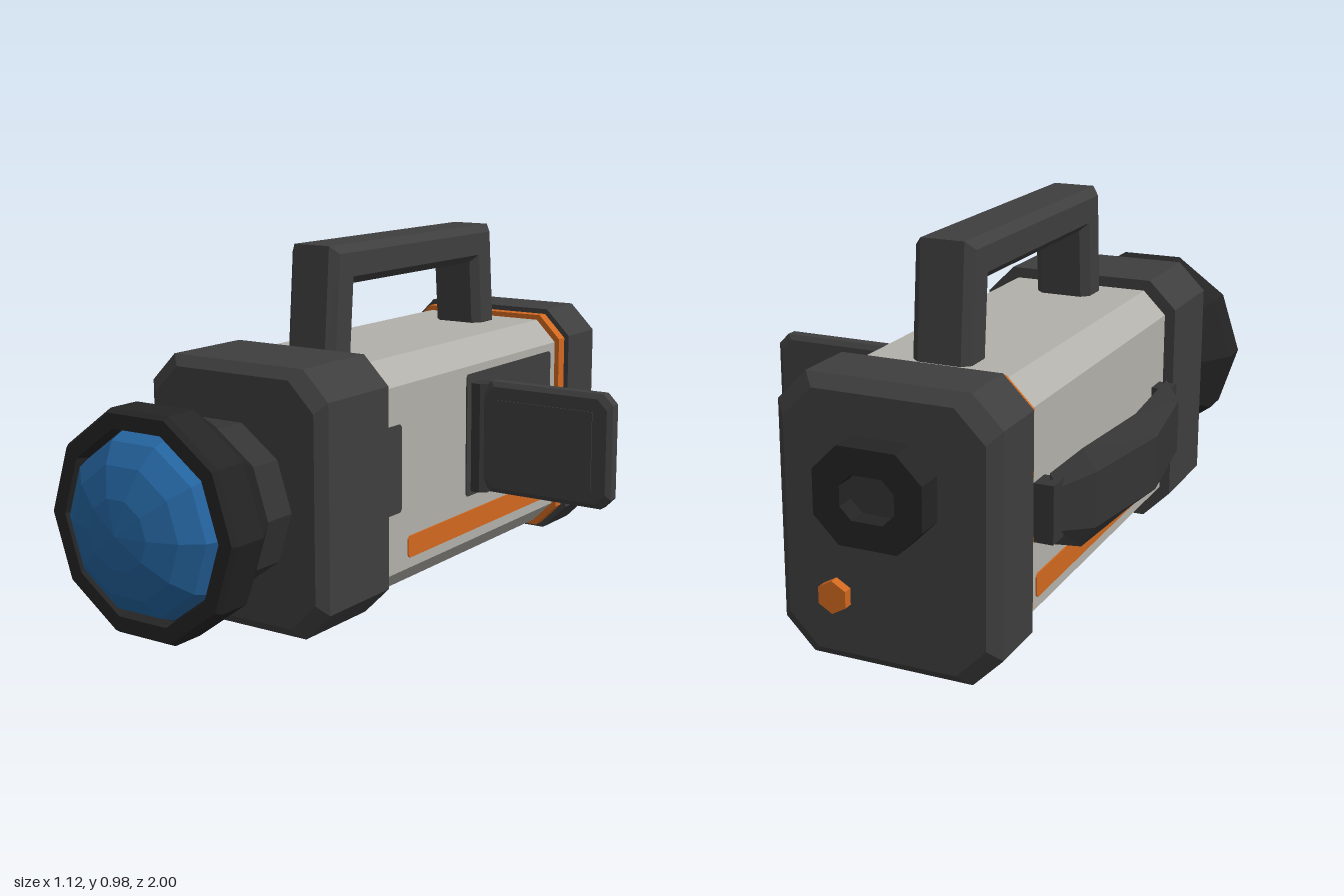
import * as THREE from 'three';

const CX = -0.15, CY = 0.355; // axis of body and lens

const mat = (name, color) => {
  const m = new THREE.MeshStandardMaterial({ color });
  m.name = name;
  return m;
};

// Rectangle with cut corners, counter-clockwise
function chamferRect(w, h, c, x = 0, y = 0) {
  const a = w / 2, b = h / 2;
  return [[a, -b + c], [a, b - c], [a - c, b], [-a + c, b], [-a, b - c], [-a, -b + c], [-a + c, -b], [a - c, -b]]
    .map(([u, v]) => [x + u, y + v]);
}

// Closed solid through convex sections { z, pts }, ordered by rising z
function loft(sections) {
  const pos = [], n = sections[0].pts.length;
  const put = (s, i) => pos.push(...s.pts[i % n], s.z);
  for (let k = 0; k < sections.length - 1; k++) {
    const a = sections[k], b = sections[k + 1];
    for (let i = 0; i < n; i++) {
      put(a, i); put(a, i + 1); put(b, i + 1);
      put(a, i); put(b, i + 1); put(b, i);
    }
  }
  const first = sections[0], last = sections[sections.length - 1];
  for (let i = 1; i < n - 1; i++) {
    put(first, 0); put(first, i + 1); put(first, i);
    put(last, 0); put(last, i); put(last, i + 1);
  }
  const g = new THREE.BufferGeometry();
  g.setAttribute('position', new THREE.Float32BufferAttribute(pos, 3));
  return g;
}

// Chamfered block along z; each step is [z, inset]
const block = (w, h, c, x, y, steps) =>
  loft(steps.map(([z, inset]) => ({ z, pts: chamferRect(w - 2 * inset, h - 2 * inset, c, x, y) })));

// Ten-sided turned part around the lens axis; profile is [radius, z]
function turned(profile) {
  const g = new THREE.LatheGeometry(profile.map(p => new THREE.Vector2(...p)), 10, Math.PI / 2);
  return g.rotateX(Math.PI / 2).translate(CX, CY, 0);
}

const toShape = pts => new THREE.Shape(pts.map(p => new THREE.Vector2(...p)));

export function createModel() {
  const group = new THREE.Group();
  const shell = mat('light grey shell', 0xb2b0aa);
  const dark = mat('dark grey plastic', 0x3e3e3e);
  const charcoal = mat('charcoal rubber', 0x343434);
  const black = mat('black plastic', 0x242424);
  const orange = mat('orange trim', 0xd0681f);
  const glass = mat('blue glass', 0x24649f);

  const add = (name, geometry, material) => {
    const g = geometry.index ? geometry.toNonIndexed() : geometry;
    g.computeVertexNormals(); // flat facets
    const mesh = new THREE.Mesh(g, material);
    mesh.name = name;
    group.add(mesh);
    return mesh;
  };

  // Body, end housings and trim band
  add('body', block(0.52, 0.65, 0.065, CX, CY, [[-0.75, 0], [0.3, 0]]), shell);
  add('frontHousing', block(0.58, 0.71, 0.078, CX, CY, [[0.27, 0], [0.535, 0], [0.56, 0.028]]), dark);
  add('rearHousing', block(0.58, 0.71, 0.078, CX, CY, [[-0.925, 0.03], [-0.895, 0], [-0.73, 0]]), dark);
  add('trimBand', block(0.55, 0.68, 0.07, CX, CY, [[-0.732, 0], [-0.695, 0]]), orange);

  // Lens: neck, grip ring, hood and faceted dome
  add('lensNeck', turned([[0, 0.55], [0.187, 0.55], [0.187, 0.73], [0, 0.73]]), black);
  add('focusRing', turned([[0, 0.605], [0.225, 0.605], [0.225, 0.7], [0, 0.7]]), charcoal);
  add('lensHood', turned([[0, 0.71], [0.235, 0.71], [0.3, 0.81], [0.3, 0.9], [0.29, 0.915],
    [0.25, 0.915], [0.243, 0.88], [0, 0.88]]), black);
  const dome = new THREE.SphereGeometry(0.241, 10, 4, 0, Math.PI * 2, 0, Math.PI / 2);
  add('lensGlass', dome.scale(1, 0.12 / 0.241, 1).rotateX(Math.PI / 2).translate(CX, CY, 0.88), glass);

  // Top carrying handle, drawn in the z-y plane with bevelled edges
  const handle = new THREE.ExtrudeGeometry(toShape([
    [0.238, 0.66], [0.212, 0.98], [-0.612, 0.98], [-0.638, 0.66],
    [-0.528, 0.66], [-0.51, 0.87], [0.11, 0.87], [0.128, 0.66],
  ]), { depth: 0.116, bevelThickness: 0.022, bevelSize: 0.022, bevelOffset: -0.022, bevelSegments: 1 });
  add('topHandle', handle.translate(0, 0, -0.058).rotateY(-Math.PI / 2).translate(CX, 0, 0), dark);

  // Thin plates on the body sides
  const plate = (name, side, z0, z1, y0, y1, material, t = 0.004) => {
    const g = block(z1 - z0, y1 - y0, 0.008, 0, 0, [[-t, 0], [t, 0]]);
    add(name, g.rotateY(Math.PI / 2).translate(CX + side * 0.26, (y0 + y1) / 2, (z0 + z1) / 2), material);
  };
  plate('screenBay', 1, -0.662, -0.168, 0.232, 0.592, dark);
  plate('sideGrille', 1, 0.168, 0.24, 0.265, 0.51, dark);
  for (const side of [1, -1]) plate('sideStripe', side, -0.645, 0.135, 0.125, 0.187, orange);

  // Fold-out screen on its hinge
  add('screenHinge', new THREE.CylinderGeometry(0.032, 0.032, 0.32, 8).rotateY(Math.PI / 8)
    .translate(0.135, 0.407, -0.212), charcoal);
  add('screenCase', block(0.415, 0.325, 0.03, 0.352, 0.414,
    [[-0.24, 0.014], [-0.23, 0], [-0.2, 0], [-0.19, 0.014]]), dark);
  add('screenPanel', block(0.31, 0.225, 0.002, 0.347, 0.413, [[-0.192, 0], [-0.187, 0]]), dark);

  // Hand strap: sections are [z offset, inner x, outer x, inner half height, outer half height]
  const half = [[0.41, -0.435, -0.455, 0.09, 0.055], [0.31, -0.478, -0.515, 0.128, 0.072]];
  const rows = [...half.map(([z, ...r]) => [-z, ...r]), [0, -0.5, -0.56, 0.125, 0.072], ...half.slice().reverse()];
  add('handStrap', loft(rows.map(([z, xi, xo, hi, ho]) => ({
    z: z - 0.212,
    pts: [[xi, 0.352 - hi], [xi, 0.352 + hi], [xo, 0.352 + ho], [xo, 0.352 - ho]],
  }))), charcoal);
  for (const s of [1, -1]) {
    add('strapMount', new THREE.BoxGeometry(0.06, 0.15, 0.065).translate(-0.432, 0.352, -0.212 + s * 0.417), charcoal);
  }

  // Viewfinder with a recessed eye opening
  const eye = toShape(chamferRect(0.28, 0.24, 0.065));
  eye.holes.push(new THREE.Path(chamferRect(0.14, 0.11, 0.03).reverse().map(p => new THREE.Vector2(...p))));
  add('viewfinder', new THREE.ExtrudeGeometry(eye, { depth: 0.08, bevelEnabled: false })
    .translate(CX, 0.46, -1), black);
  add('viewfinderWindow', new THREE.BoxGeometry(0.15, 0.12, 0.008).translate(CX, 0.46, -0.945), charcoal);

  // Record button
  add('recordButton', new THREE.CylinderGeometry(0.042, 0.042, 0.04, 6).rotateX(Math.PI / 2)
    .translate(-0.022, 0.178, -0.93), orange);

  return group;
}
